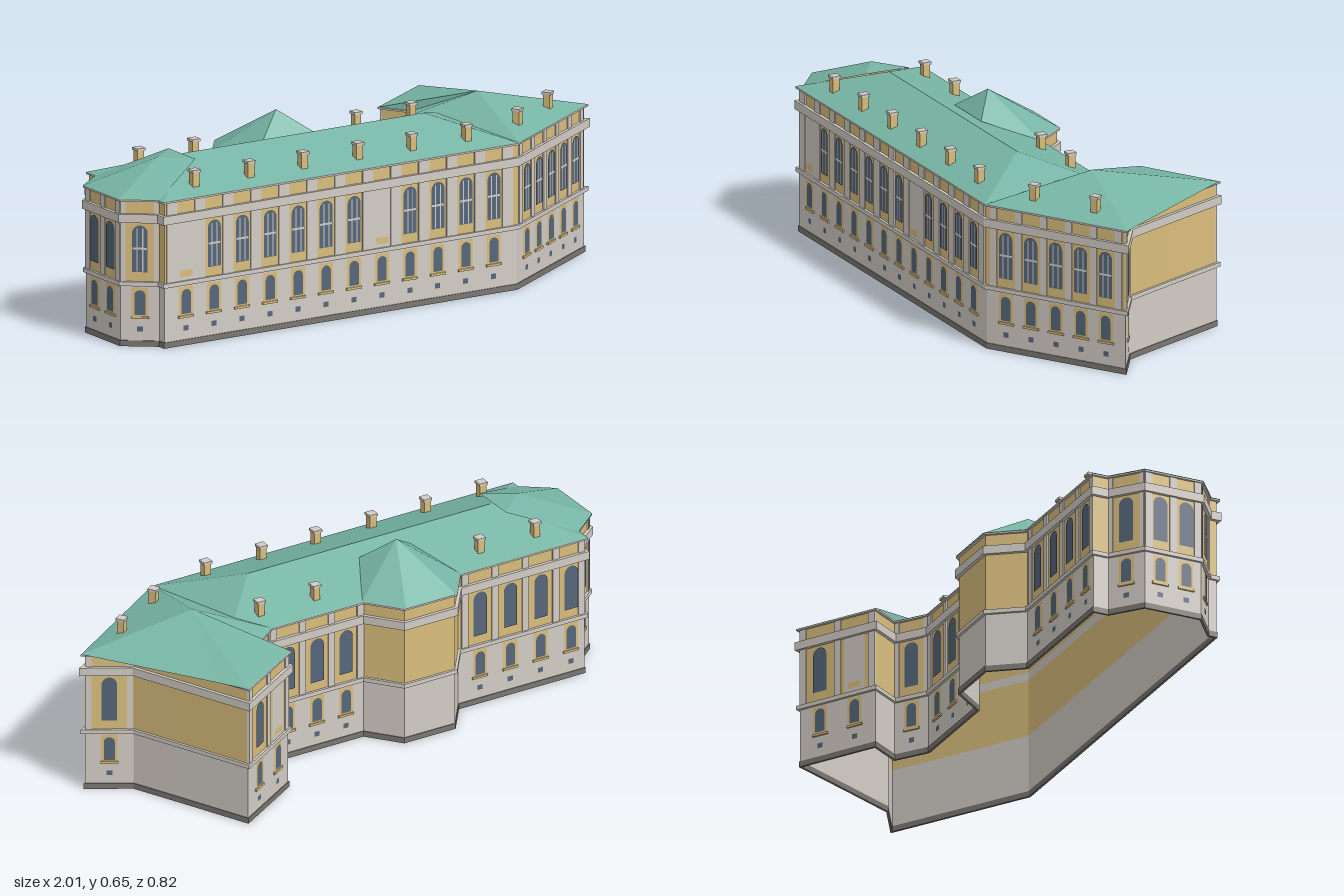
import * as THREE from 'three';

const mat = (name, color, side = THREE.FrontSide) =>
  Object.assign(new THREE.MeshStandardMaterial({ color, side }), { name });

// Outline of the walls as [x, z], starting at the front left corner
const PLAN = [
  [-0.885, 0.395], [0.525, 0.395], [0.985, 0.105], [0.845, 0.02], [0.765, -0.155], [0.655, -0.4],
  [0.4, -0.245], [0.465, -0.14], [0.36, -0.065], [-0.01, -0.065], [-0.1, -0.18], [-0.3, -0.18],
  [-0.385, -0.065], [-0.885, -0.065], [-0.885, -0.01], [-0.99, 0.075], [-0.99, 0.285], [-0.885, 0.365],
];

// Outline moved outwards by d with mitred corners
function offsetPlan(d) {
  const n = PLAN.length;
  return PLAN.map((p, i) => {
    const a = PLAN[(i + n - 1) % n], b = PLAN[(i + 1) % n];
    const normal = (s, e) => {
      const l = Math.hypot(e[0] - s[0], e[1] - s[1]);
      return [-(e[1] - s[1]) / l, (e[0] - s[0]) / l];
    };
    const n1 = normal(a, p), n2 = normal(p, b);
    const k = d / (1 + n1[0] * n2[0] + n1[1] * n2[1]);
    return new THREE.Vector2(p[0] + (n1[0] + n2[0]) * k, -(p[1] + (n1[1] + n2[1]) * k));
  });
}

// Ring that follows the outline, from y0 to y1
function ring(out, y0, y1) {
  const shape = new THREE.Shape(offsetPlan(out));
  shape.holes.push(new THREE.Path(offsetPlan(-0.005)));
  const g = new THREE.ExtrudeGeometry(shape, { depth: y1 - y0, bevelEnabled: false });
  return g.rotateX(-Math.PI / 2).translate(0, y0, 0);
}

// Flat roof planes, every triangle turned to face upwards
function roofGeometry(tris) {
  const v = tris.map(t => t.map(p => new THREE.Vector3(...p)));
  const pts = v.flatMap(([a, b, c]) => {
    const up = b.clone().sub(a).cross(c.clone().sub(a)).y > 0;
    return up ? [a, b, c] : [a, c, b];
  });
  const g = new THREE.BufferGeometry().setFromPoints(pts);
  g.computeVertexNormals();
  return g;
}

// Triangles from an apex to each pair of neighbouring edge points
const fan = (apex, edge) => edge.map((p, i) => [apex, p, edge[(i + 1) % edge.length]]);

// Round-headed opening standing on y = 0
function arch(w, h, rise = w / 2) {
  const s = new THREE.Shape();
  s.moveTo(-w / 2, 0);
  s.lineTo(w / 2, 0);
  s.lineTo(w / 2, h - rise);
  s.absellipse(0, h - rise, w / 2, rise, 0, Math.PI, false);
  s.lineTo(-w / 2, 0);
  return new THREE.ShapeGeometry(s, 8);
}

export function createModel() {
  const model = new THREE.Group();
  model.name = 'palace';
  const stone = mat('stone', 0xd2ccc5);
  const ochre = mat('ochre', 0xd9bd7c);
  const glass = mat('glass', 0x56667a);
  const plinth = mat('plinth', 0x7b7772);
  const copper = mat('copper', 0x77b5a5, THREE.DoubleSide);

  const add = (parent, name, geometry, material, x = 0, y = 0, z = 0) => {
    const m = new THREE.Mesh(geometry, material);
    m.name = name;
    m.position.set(x, y, z);
    parent.add(m);
    return m;
  };

  // Walls and the bands that run around them
  add(model, 'plinth', ring(0.003, 0, 0.02), plinth);
  add(model, 'lowerWall', ring(0, 0.02, 0.21), stone);
  add(model, 'stringCourse', ring(0.009, 0.21, 0.225), stone);
  add(model, 'upperWall', ring(0, 0.225, 0.43), ochre);
  add(model, 'entablature', ring(0.012, 0.43, 0.46), stone);
  add(model, 'frieze', ring(0, 0.46, 0.503), ochre);
  add(model, 'eavesMoulding', ring(0.009, 0.503, 0.509), stone);

  const upperGlass = arch(0.052, 0.162), lowerGlass = arch(0.037, 0.085);
  const lowerFrame = new THREE.PlaneGeometry(0.056, 0.105), vent = new THREE.PlaneGeometry(0.02, 0.018);
  const sill = new THREE.BoxGeometry(0.06, 0.008, 0.008);

  // One window bay on a facade
  function bay(face, x, { bars, blank }) {
    add(face, 'lowerFrame', lowerFrame, ochre, x, 0.151, 0.002);
    add(face, 'lowerWindow', lowerGlass, glass, x, 0.11, 0.004);
    add(face, 'lowerSill', sill, ochre, x, 0.1, 0.002);
    add(face, 'cellarWindow', vent, glass, x, 0.06, 0.002);
    if (blank) {
      add(face, 'blankBay', new THREE.PlaneGeometry(0.08, 0.205), stone, x, 0.3275, 0.002);
      add(face, 'blankPanel', new THREE.PlaneGeometry(0.05, 0.022), ochre, x, 0.25, 0.004);
      return;
    }
    add(face, 'upperWindow', upperGlass, glass, x, 0.258, 0.004);
    if (bars) {
      for (const dx of [-0.01, 0.01])
        add(face, 'glazingBar', new THREE.PlaneGeometry(0.004, 0.15), stone, x + dx, 0.335, 0.005);
      add(face, 'transom', new THREE.PlaneGeometry(0.052, 0.007), stone, x, 0.34, 0.006);
    }
  }

  // Facade on one side of the outline; bays are given as fractions of its length
  function facade(name, side, bays, { pilaster = 0.026, bars = false, blanks = [] } = {}) {
    const [a, b] = [PLAN[side], PLAN[(side + 1) % PLAN.length]];
    const dx = b[0] - a[0], dz = b[1] - a[1], len = Math.hypot(dx, dz);
    const face = new THREE.Group();
    face.name = name;
    face.position.set(a[0], 0, a[1]);
    face.rotation.y = Math.atan2(-dz, dx);
    model.add(face);
    bays.forEach((t, i) => bay(face, t * len, { bars, blank: blanks.includes(i) }));
    // Pilasters between the bays and at both ends
    const half = bays.length > 1 ? (bays[1] - bays[0]) / 2 : 0.42;
    const stops = bays.map(t => t - half).concat(bays[bays.length - 1] + half);
    for (const t of stops) {
      const x = THREE.MathUtils.clamp(t * len, pilaster / 2, len - pilaster / 2);
      add(face, 'pilaster', new THREE.BoxGeometry(pilaster, 0.205, 0.008), stone, x, 0.3275);
      add(face, 'friezeBlock', new THREE.BoxGeometry(pilaster, 0.043, 0.008), stone, x, 0.4815);
    }
  }

  const front = Array.from({ length: 12 }, (_, i) => (0.085 + 0.112 * i) / 1.41);
  facade('frontFacade', 0, front, { pilaster: 0.042, bars: true, blanks: [0, 7] });
  facade('wingFacade', 1, [0.14, 0.32, 0.5, 0.68, 0.86], { pilaster: 0.026, bars: true });
  facade('wingSideFacade', 2, [0.5], { pilaster: 0.018 });
  facade('wingEndFacade', 5, [0.27, 0.73], { blanks: [1] });
  facade('wingCornerFacade', 7, [0.5], { pilaster: 0.015 });
  facade('rearRightFacade', 8, [0.19, 0.5, 0.81]);
  facade('rearLeftFacade', 12, [0.17, 0.41, 0.65, 0.89]);
  facade('pavilionRearFacade', 14, [0.5], { pilaster: 0.015 });
  facade('pavilionSideFacade', 15, [0.27, 0.73]);
  facade('pavilionFrontFacade', 16, [0.5], { pilaster: 0.015, bars: true });

  // Main hipped roof
  const E = 0.51, R = 0.596;
  const bl = [-0.895, E, -0.072], br = [0.53, E, -0.072], fr = [0.53, E, 0.404], fl = [-0.895, E, 0.404];
  const rl = [-0.66, R, 0.17], rr = [0.3, R, 0.17];
  add(model, 'mainRoof', roofGeometry([
    [fl, fr, rr], [fl, rr, rl], [br, bl, rl], [br, rl, rr], [fr, br, rr], [bl, fl, rl],
  ]), copper);

  // Angled wing roof
  add(model, 'wingRoof', roofGeometry(fan([0.6, 0.6, 0.04], [
    [0.53, E, 0.406], [1, E, 0.105], [0.72, E, -0.315], [0.66, E, -0.412],
    [0.39, E, -0.247], [0.457, E, -0.145], [0.355, E, -0.072],
  ])), copper);

  // Left pavilion roof, its inner edge riding over the main ridge
  add(model, 'pavilionRoof', roofGeometry(fan([-0.775, 0.6, 0.18], [
    [-0.892, E, -0.018], [-1, E, 0.07], [-1, E, 0.29], [-0.892, E, 0.374],
    [-0.67, R, 0.255], [-0.67, R, 0.09],
  ])), copper);

  // Rear bay roof
  add(model, 'rearBayRoof', roofGeometry(fan([-0.2, 0.65, 0.03], [
    [-0.1, 0.575, 0.105], [-0.003, E, -0.068], [-0.1, E, -0.19],
    [-0.3, E, -0.19], [-0.393, E, -0.068], [-0.3, 0.575, 0.105],
  ])), copper);

  // Chimneys
  const stack = new THREE.BoxGeometry(0.025, 0.06, 0.025), cap = new THREE.BoxGeometry(0.032, 0.009, 0.032);
  const spots = [-0.73, -0.51, -0.295, -0.075, 0.14, 0.36].map(x => [x, 0.34, 0]);
  spots.push(...[-0.73, -0.51, 0.14, 0.36].map(x => [x, 0, 0]), [0.615, 0.262, 0.57], [0.82, 0.135, 0.57]);
  for (const [x, z, turn] of spots) {
    const chimney = new THREE.Group();
    chimney.name = 'chimney';
    chimney.position.set(x, 0.55, z);
    chimney.rotation.y = turn;
    add(chimney, 'chimneyStack', stack, ochre);
    add(chimney, 'chimneyCap', cap, stone, 0, 0.033);
    model.add(chimney);
  }
  return model;
}
